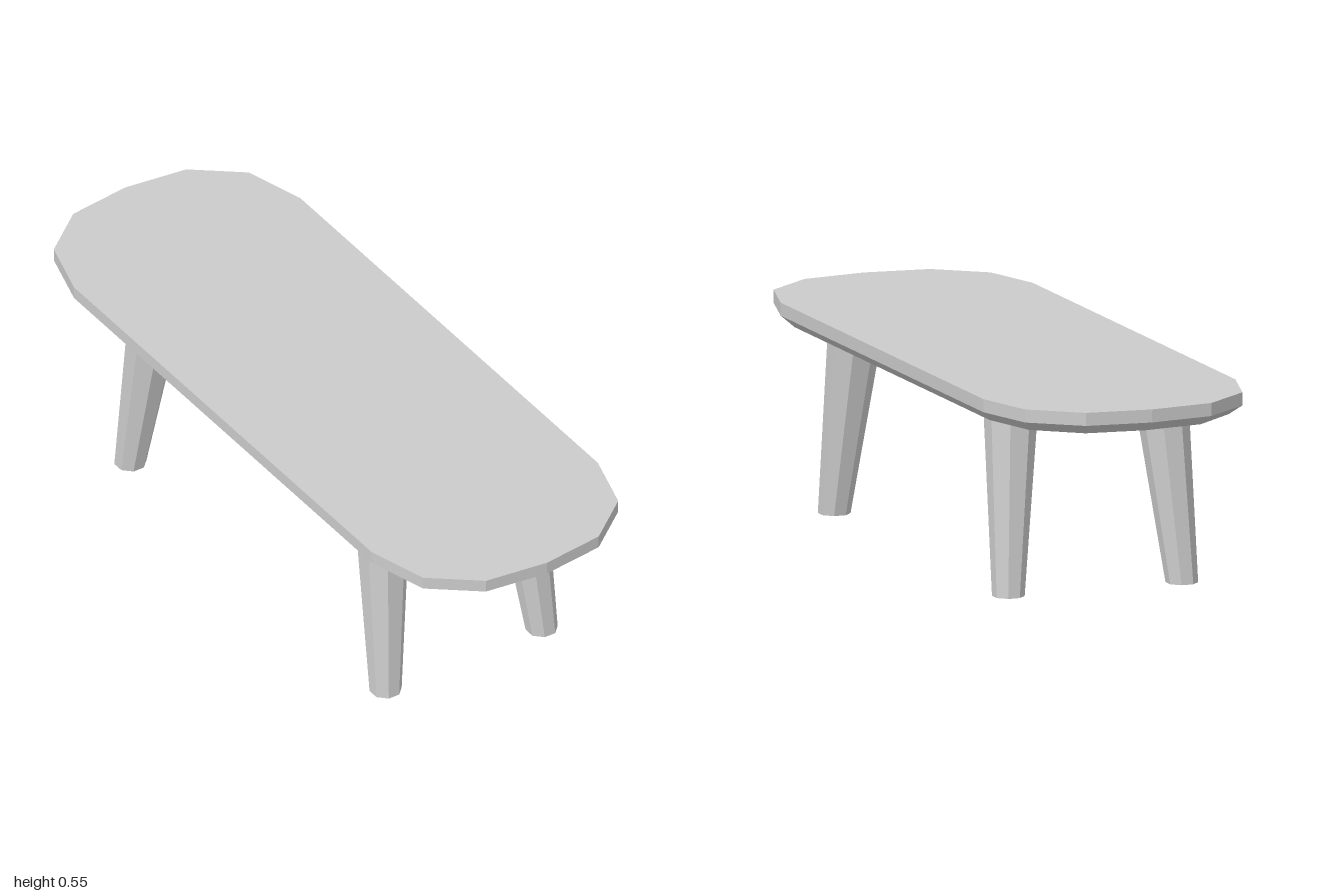
import * as THREE from 'three';

const material = new THREE.MeshStandardMaterial({ color: 0xcccccc, flatShading: true });

const UNDERSIDE = 0.49, RIM = 0.518, TOP = 0.553;

// Faceted oval slab: upright rim above, chamfer drawn in towards the underside
function tabletop() {
  const end = [[0.357, 0.705], [0.308, 0.875], [0.178, 0.978], [0, 1]];
  const half = [...end, ...end.slice(0, 3).reverse().map(([x, z]) => [-x, z])];
  const outline = [...half, ...half.map(([x, z]) => [-x, -z])];
  const shape = new THREE.Shape(outline.map(([x, z]) => new THREE.Vector2(x, z)));

  const geometry = new THREE.ExtrudeGeometry(shape, { depth: 2, steps: 2, bevelEnabled: false });
  geometry.rotateX(-Math.PI / 2);
  const p = geometry.attributes.position;
  const levels = [UNDERSIDE, RIM, TOP];
  for (let i = 0; i < p.count; i++) {
    const level = Math.round(p.getY(i));
    p.setY(i, levels[level]);
    if (level === 0) {
      p.setX(i, p.getX(i) * 0.92);
      p.setZ(i, p.getZ(i) * 0.96);
    }
  }
  geometry.computeVertexNormals();
  const mesh = new THREE.Mesh(geometry, material);
  mesh.name = 'tabletop';
  return mesh;
}

// Tapered eight-sided leg, leaning outwards to a level foot
function leg(sx, sz, name) {
  const geometry = new THREE.CylinderGeometry(0.072, 0.043, UNDERSIDE, 8, 1, false, Math.PI / 8);
  geometry.translate(0, UNDERSIDE / 2, 0);
  const p = geometry.attributes.position;
  for (let i = 0; i < p.count; i++) {
    const t = p.getY(i) / UNDERSIDE;
    p.setX(i, p.getX(i) + sx * THREE.MathUtils.lerp(0.246, 0.213, t));
    p.setZ(i, p.getZ(i) + sz * THREE.MathUtils.lerp(0.605, 0.541, t));
  }
  geometry.computeVertexNormals();
  const mesh = new THREE.Mesh(geometry, material);
  mesh.name = name;
  return mesh;
}

export function createModel() {
  const table = new THREE.Group();
  table.name = 'table';
  table.add(tabletop());
  for (const [sz, end] of [[1, 'front'], [-1, 'back']]) {
    for (const [sx, side] of [[1, 'Left'], [-1, 'Right']]) {
      table.add(leg(sx, sz, `${end}${side}Leg`));
    }
  }
  return table;
}
